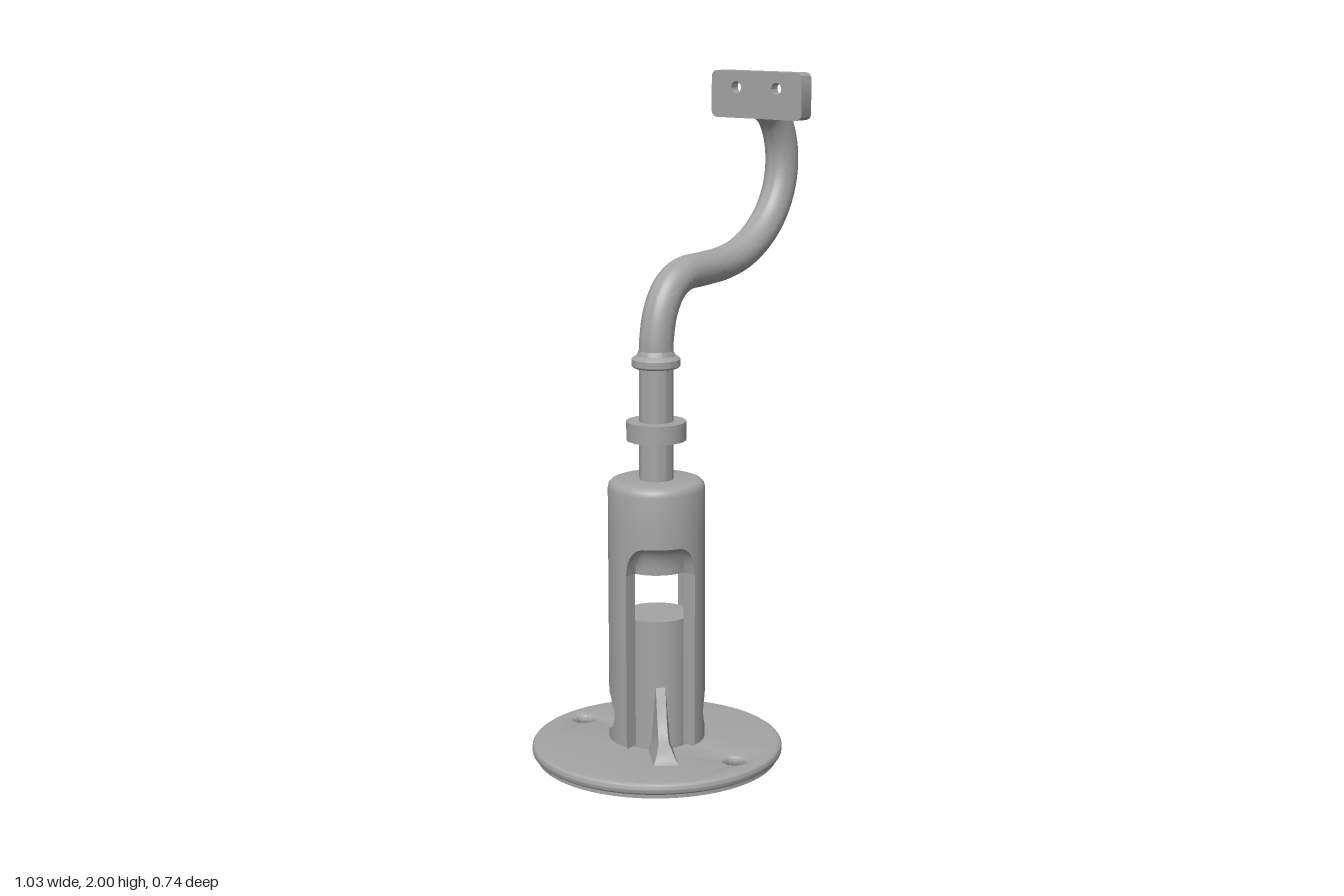
import * as THREE from 'three';
import { toCreasedNormals } from 'three/addons/utils/BufferGeometryUtils.js';

const metal = new THREE.MeshStandardMaterial({ color: 0xa4a4a4, side: THREE.DoubleSide });
metal.name = 'grey metal';

const AXIS = -0.155, R = 0.142, CORE = 0.1, Q = Math.PI / 4;

function add(parent, name, geometry, crease = 0.6) {
  const mesh = new THREE.Mesh(toCreasedNormals(geometry, crease), metal);
  mesh.name = name;
  parent.add(mesh);
  return mesh;
}

// Surface from a rule: fn(i, j) returns [x, y, z]
function grid(nu, nv, fn) {
  const pos = [], idx = [];
  for (let j = 0; j <= nv; j++) for (let i = 0; i <= nu; i++) pos.push(...fn(i, j));
  for (let j = 0; j < nv; j++) for (let i = 0; i < nu; i++) {
    const a = j * (nu + 1) + i, b = a + nu + 1;
    idx.push(a, b, a + 1, b, b + 1, a + 1);
  }
  const g = new THREE.BufferGeometry();
  g.setAttribute('position', new THREE.Float32BufferAttribute(pos, 3));
  g.setIndex(idx);
  g.computeVertexNormals();
  return g;
}

const polar = (r, a, y) => [r * Math.cos(a), y, r * Math.sin(a)];
const lathe = pts => new THREE.LatheGeometry(pts.map(p => new THREE.Vector2(...p)), 48);

function hole(shape, x, y, r) {
  const p = new THREE.Path();
  p.absarc(x, y, r, 0, Math.PI * 2, true);
  shape.holes.push(p);
}

// Round base: plain lower layer, upper layer with rounded rim and countersinks
function buildBase(parent) {
  const layer = (name, r, y, opts) => {
    const s = new THREE.Shape();
    s.absarc(0, 0, 0.358, 0, Math.PI * 2);
    for (const k of [-1, 1]) hole(s, 0, k * 0.288, r);
    const g = new THREE.ExtrudeGeometry(s, { curveSegments: 48, ...opts });
    add(parent, name, g.rotateX(-Math.PI / 2).translate(0, y, 0));
  };
  layer('baseLower', 0.035, 0, { depth: 0.034, bevelEnabled: false });
  layer('baseUpper', 0.044, 0.026, {
    depth: 0.006, bevelThickness: 0.014, bevelSize: 0.014, bevelOffset: 0, bevelSegments: 4,
  });
}

// Upper sleeve, with a hollowed arch over each side opening
function buildSleeve(parent) {
  const arch = a => {
    const d = Math.abs(((a - 3 * Q + Math.PI * 4.5) % Math.PI) - Math.PI / 2) * R;
    const half = Q * R, f = 0.06;
    if (d >= half - 1e-6) return 0.58;
    const t = Math.max(0, (d - half + f) / f);
    return 0.58 + 0.087 * Math.sqrt(Math.max(0, 1 - t * t));
  };
  const rim = [[R, 0.70], [R, 0.82], [0.139, 0.834], [0.131, 0.842], [0.12, 0.846], [0.04, 0.846]];
  add(parent, 'sleeve', grid(128, 8 + rim.length, (i, j) => {
    const a = i / 128 * Math.PI * 2;
    if (j > 8) return polar(rim[j - 9][0], a, rim[j - 9][1]);
    const t = j / 8 * Math.PI / 2;
    return polar(R - (R - CORE) * Math.cos(t), a, 0.58 + (arch(a) - 0.58) * Math.sin(t));
  }));
}

// Curved leg of the column with a countersunk round hole near its foot
function buildProng() {
  const prong = new THREE.Group();
  prong.name = 'columnProng';
  const s = new THREE.Shape();
  s.absarc(0, 0, R, -Q, Q, false);
  s.absarc(0, 0, CORE, Q, -Q, true);
  const g = new THREE.ExtrudeGeometry(s, { depth: 0.35, bevelEnabled: false, curveSegments: 24 });
  add(prong, 'prongUpper', g.rotateX(-Math.PI / 2).translate(0, 0.23, 0));

  const rows = [[0.035, CORE], [0.035, 0.118], [0.052, 0.136], [0.055, R]];
  add(prong, 'prongLowerWithHole', grid(64, 9, (i, j) => {
    const u = i / 64 * Math.PI * 2, c = Math.cos(u), n = Math.sin(u);
    const [h, r] = rows[Math.min(j, 3)], m = Math.max(Math.abs(c), Math.abs(n));
    const t = Math.max(0, (j - 3) / 6);
    const arc = (1 - t) * h * c + t * Q * R * c / m;
    const y = (1 - t) * h * n + t * 0.085 * n / m;
    return polar(r, arc / R, 0.145 + y);
  }));
  for (const k of [-1, 1]) {
    add(prong, 'prongSide', grid(1, 1, (i, j) => polar(i ? R : CORE, k * Q, j ? 0.23 : 0.055)));
  }
  return prong;
}

// Curved gusset, spreading where it meets the base
function buildRib() {
  const s = new THREE.Shape([[0.06, 0.05], [0.235, 0.05], [0.23, 0.062], [0.21, 0.082], [0.18, 0.098],
    [0.155, 0.122], [0.135, 0.155], [0.115, 0.205], [0.1, 0.24], [0.06, 0.24]]
    .map(p => new THREE.Vector2(...p)));
  const g = new THREE.ExtrudeGeometry(s, { depth: 2, bevelEnabled: false });
  g.translate(0, 0, -1);
  const p = g.attributes.position;
  for (let i = 0; i < p.count; i++) {
    p.setZ(i, p.getZ(i) * (0.014 + 0.022 * Math.max(0, (0.1 - p.getY(i)) / 0.05)));
  }
  return g;
}

function buildColumn(parent) {
  add(parent, 'lowerCore', new THREE.CylinderGeometry(CORE, CORE, 0.39, 48).translate(0, 0.245, 0));
  add(parent, 'plunger', new THREE.CylinderGeometry(CORE - 0.001, CORE - 0.001, 0.2, 48).translate(0, 0.68, 0));
  buildSleeve(parent);
  for (const turn of [-Q, 3 * Q]) {
    const prong = buildProng();
    prong.rotation.y = turn;
    parent.add(prong);
  }
  for (const turn of [-3 * Q, Q]) add(parent, 'rib', buildRib()).rotation.y = turn;
  // Rod with its collar and top ring
  add(parent, 'rod', new THREE.CylinderGeometry(0.05, 0.05, 0.42, 40).translate(0, 1.0, 0));
  add(parent, 'collar', new THREE.CylinderGeometry(0.087, 0.087, 0.055, 48).translate(0, 0.99, 0));
  add(parent, 'topRing', lathe([[0.04, 1.176], [0.066, 1.176], [0.071, 1.181], [0.071, 1.2],
    [0.066, 1.205], [0.056, 1.21], [0.05, 1.225]]));
}

// Bent tube and its flared joint to the mounting plate
function buildArm(parent) {
  const path = new THREE.CatmullRomCurve3([[-0.155, 1.19], [-0.152, 1.26], [-0.132, 1.34], [-0.09, 1.4],
    [-0.03, 1.431], [0.06, 1.437], [0.16, 1.444], [0.25, 1.465], [0.335, 1.51], [0.405, 1.577],
    [0.447, 1.66], [0.457, 1.74], [0.443, 1.81], [0.41, 1.868], [0.36, 1.905]]
    .map(([x, y]) => new THREE.Vector3(x, y, 0)));
  add(parent, 'arm', new THREE.TubeGeometry(path, 120, 0.05, 32), 0.8);
  const flare = lathe([[0.094, 0.365], [0.088, 0.373], [0.07, 0.385], [0.057, 0.402], [0.048, 0.428]]);
  add(parent, 'armFlare', flare.rotateZ(-Math.PI / 2).scale(1, 0.48, 1).translate(0, 1.9, 0), 0.8);
}

// Mounting plate in two layers, so that each screw hole is stepped
function buildPlate(parent) {
  const layer = (name, x, depth, r) => {
    const w = 0.166, h = 0.07, c = 0.02, s = new THREE.Shape();
    s.absarc(w - c, h - c, c, 0, 2 * Q);
    s.absarc(c - w, h - c, c, 2 * Q, 4 * Q);
    s.absarc(c - w, c - h, c, 4 * Q, 6 * Q);
    s.absarc(w - c, c - h, c, 6 * Q, 8 * Q);
    for (const k of [-1, 1]) hole(s, k * 0.074, 0.021, r);
    const g = new THREE.ExtrudeGeometry(s, { depth, bevelEnabled: false, curveSegments: 16 });
    add(parent, name, g.rotateY(Math.PI / 2).translate(x, 1.93, 0));
  };
  layer('plateBack', 0.322, 0.032, 0.018);
  layer('plateFront', 0.354, 0.018, 0.031);
}

export function createModel() {
  const model = new THREE.Group();
  model.name = 'wallBracket';
  const stand = new THREE.Group();
  stand.name = 'stand';
  stand.position.x = AXIS;
  model.add(stand);
  buildBase(stand);
  buildColumn(stand);
  buildArm(model);
  buildPlate(model);
  return model;
}
